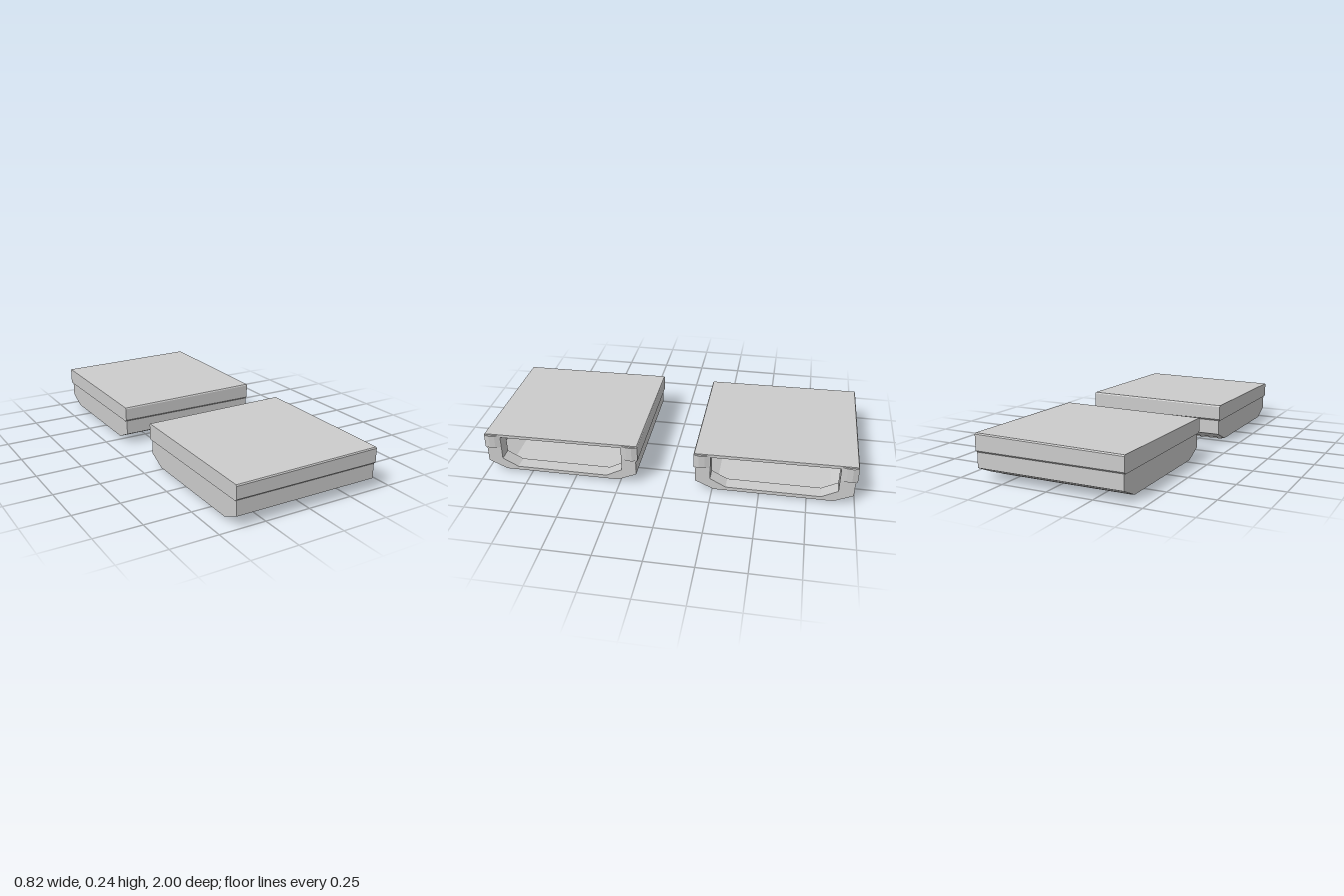
import * as THREE from 'three';

const material = new THREE.MeshStandardMaterial({ color: 0xcccccc, flatShading: true });

// Mirrors half a (z, y) outline, listed bottom to top, about the centre line
function mirrored(half) {
  return [...half, ...half.slice().reverse().map(([z, y]) => [-z, y])];
}

// Extrudes a (z, y) outline along x between x0 and x1
function section(outline, x0, x1) {
  const shape = new THREE.Shape(outline.map(([z, y]) => new THREE.Vector2(z, y)));
  const geometry = new THREE.ExtrudeGeometry(shape, { depth: x1 - x0, bevelEnabled: false });
  return geometry.rotateY(Math.PI / 2).translate(x0, 0, 0);
}

// Trough or cover outline: down one skin and back along the other
function shell(outer, inner) {
  const back = inner.slice().reverse();
  return [
    ...outer.map(([z, y]) => [-z, y]), ...outer.slice().reverse(),
    ...back.slice().reverse(), ...back.map(([z, y]) => [-z, y]),
  ];
}

// The lid's top is very slightly out of level
function tiltTop(geometry) {
  const p = geometry.attributes.position;
  for (let i = 0; i < p.count; i++) {
    if (p.getY(i) > 0.2) p.setY(i, p.getY(i) + 0.0045 * p.getX(i) / 0.4 - 0.004 * p.getZ(i) / 0.425);
  }
  geometry.computeVertexNormals();
  return geometry;
}

function add(group, name, geometry) {
  const mesh = new THREE.Mesh(geometry, material);
  mesh.name = name;
  group.add(mesh);
}

function createTray() {
  const tray = new THREE.Group();
  const trayOuter = [[0.415, 0.147], [0.415, 0.06], [0.315, 0.015]];
  const lidOuter = [[0.415, 0.14], [0.425, 0.149], [0.425, 0.223], [0.421, 0.23]];

  // Lower tray: thin walls, a closed end and a thicker rim at the open end
  add(tray, 'trayWalls', section(shell(trayOuter, [[0.385, 0.147], [0.385, 0.075], [0.3, 0.03]]), -0.375, 0.32));
  add(tray, 'trayEndWall', section(mirrored(trayOuter.slice().reverse()), -0.405, -0.375));
  add(tray, 'trayOpeningRim', section(shell(trayOuter, [[0.335, 0.147], [0.335, 0.08], [0.25, 0.035]]), 0.32, 0.398));

  // Lid: overhanging cover with chamfered lower edge
  add(tray, 'lidWalls', tiltTop(section(shell(lidOuter, [[0.385, 0.14], [0.385, 0.218]]), -0.375, 0.32)));
  add(tray, 'lidEndWall', tiltTop(section(mirrored(lidOuter), -0.413, -0.375)));
  add(tray, 'lidOpeningRim', tiltTop(section(shell(lidOuter, [[0.335, 0.14], [0.335, 0.213]]), 0.32, 0.398)));

  // Rounded corner posts at the opening, drawn in plan and raised
  for (const side of [-1, 1]) {
    const plan = [[0.36, 0.337], [0.397, 0.337], [0.407, 0.365], [0.41, 0.395], [0.4, 0.424], [0.36, 0.424]];
    const points = plan.map(([x, z]) => new THREE.Vector2(x, side * z));
    const post = new THREE.ExtrudeGeometry(new THREE.Shape(points), { depth: 0.073, bevelEnabled: false });
    post.rotateX(-Math.PI / 2).translate(0, 0.15, 0);
    add(tray, side > 0 ? 'rightLidPost' : 'leftLidPost', tiltTop(post));
  }

  // Raised foot plate beneath
  const foot = new THREE.BoxGeometry(0.735, 0.018, 0.56).translate(-0.005, 0.009, 0);
  add(tray, 'footPlate', foot);
  return tray;
}

export function createModel() {
  const model = new THREE.Group();
  model.name = 'trayPair';
  for (const side of [-1, 1]) {
    const tray = createTray();
    tray.name = side > 0 ? 'frontTray' : 'backTray';
    tray.position.z = side * 0.575;
    model.add(tray);
  }
  return model;
}
